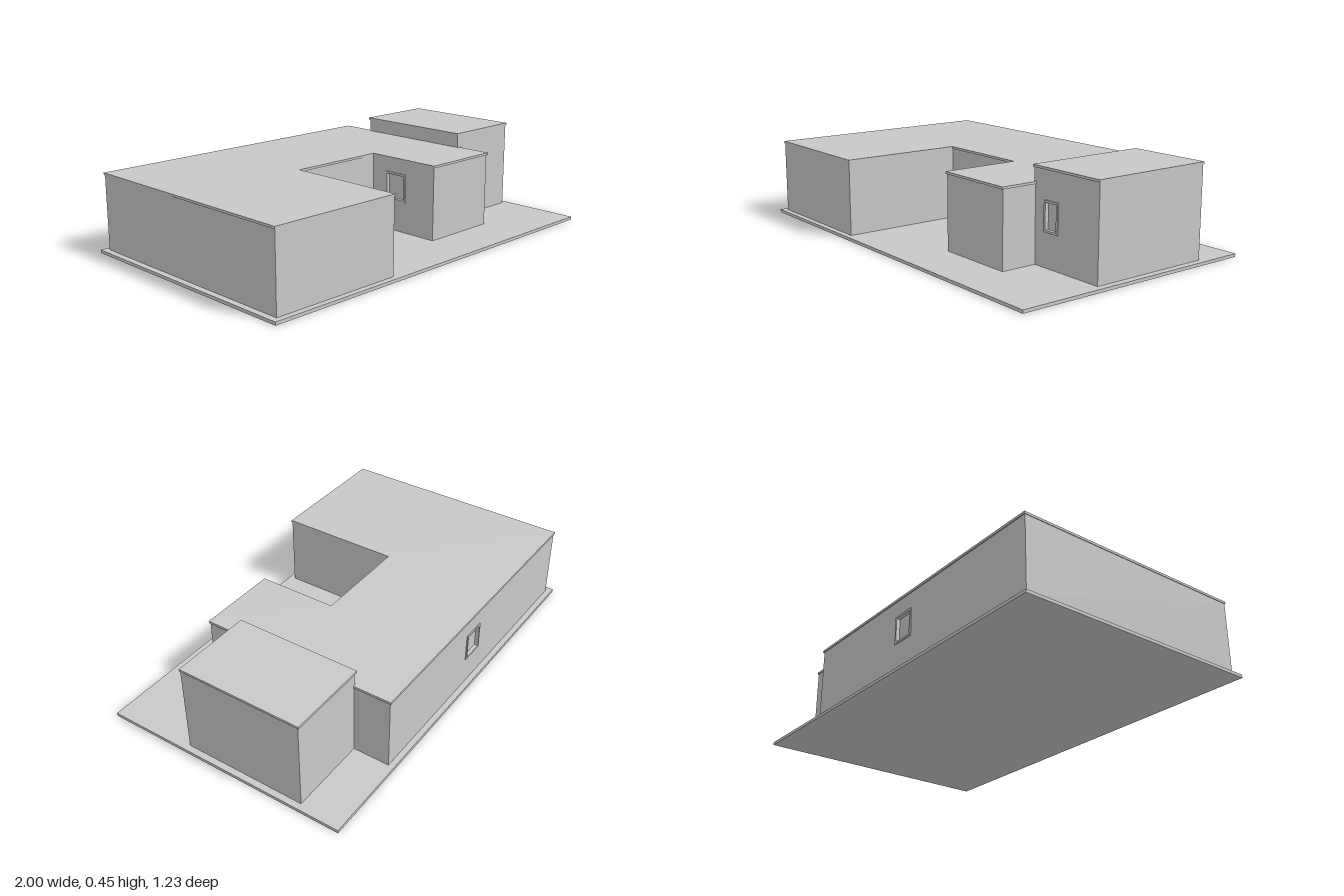
import * as THREE from 'three';

const GROUND = 0.015;   // top of the base slab
const THICK = 0.03;     // wall thickness
const ROOF = 0.011;     // roof plate thickness

const plaster = new THREE.MeshStandardMaterial({ color: 0xc8c8c8 });
plaster.name = 'light grey';

function part(name, geometry, parent) {
  const mesh = new THREE.Mesh(geometry, plaster);
  mesh.name = name;
  parent.add(mesh);
  return mesh;
}

function rectPath(Type, u0, u1, v0, v1) {
  const p = new Type();
  p.moveTo(u0, v0);
  p.lineTo(u1, v0);
  p.lineTo(u1, v1);
  p.lineTo(u0, v1);
  p.closePath();
  return p;
}

function extrude(shape, depth) {
  return new THREE.ExtrudeGeometry(shape, { depth, bevelEnabled: false });
}

// One straight wall from a to b with its outer face on that line; win = [u0, u1, y0, y1]
function addWall(parent, a, b, top, win) {
  const dx = b[0] - a[0], dz = b[1] - a[1];
  const wall = new THREE.Group();
  wall.name = 'wall';
  wall.position.set(a[0], 0, a[1]);
  wall.rotation.y = Math.atan2(-dz, dx);
  parent.add(wall);

  const shape = rectPath(THREE.Shape, 0, Math.hypot(dx, dz), GROUND, top);
  if (win) {
    const [u0, u1, v0, v1] = win, t = 0.01;
    const inner = [u0 + t, u1 - t, v0 + t, v1 - t];
    shape.holes.push(rectPath(THREE.Path, ...inner));
    // raised frame around the opening
    const frame = rectPath(THREE.Shape, ...win);
    frame.holes.push(rectPath(THREE.Path, ...inner));
    part('windowFrame', extrude(frame, 0.005), wall);
    // recessed pane
    const pane = part('windowPane', new THREE.BoxGeometry(u1 - u0, v1 - v0, 0.005), wall);
    pane.position.set((u0 + u1) / 2, (v0 + v1) / 2, -0.015);
  }
  part('wallPanel', extrude(shape, THICK).translate(0, 0, -THICK), wall);
}

// Walls around an outline of [x, z] corners, closed by a slightly overhanging flat roof
function addBlock(parent, name, walls, roof, height, windows) {
  const block = new THREE.Group();
  block.name = name;
  parent.add(block);
  walls.forEach((a, i) =>
    addWall(block, a, walls[(i + 1) % walls.length], height - ROOF, windows[i]));
  const shape = new THREE.Shape(roof.map(([x, z]) => new THREE.Vector2(x, -z)));
  part('flatRoof', extrude(shape, ROOF).rotateX(-Math.PI / 2).translate(0, height - ROOF, 0), block);
}

export function createModel() {
  const model = new THREE.Group();
  model.name = 'house';

  part('baseSlab', new THREE.BoxGeometry(2, GROUND, 1.226), model).position.y = GROUND / 2;

  // Low U-shaped building around the courtyard
  addBlock(model, 'mainBuilding',
    [[-0.97, 0.585], [-0.313, 0.585], [-0.313, -0.012], [0.185, -0.012],
      [0.185, 0.376], [0.58, 0.376], [0.58, -0.585], [-0.97, -0.585]],
    [[-0.973, 0.588], [-0.31, 0.588], [-0.31, -0.007], [0.18, -0.007],
      [0.18, 0.381], [0.585, 0.381], [0.585, -0.59], [-0.973, -0.59]],
    0.38,
    { 3: [0.087, 0.212, 0.165, 0.305], 6: [0.655, 0.775, 0.155, 0.29] });

  // Taller block at the side
  addBlock(model, 'tallBlock',
    [[0.572, 0.2], [0.968, 0.2], [0.968, -0.406], [0.572, -0.406]],
    [[0.566, 0.204], [0.971, 0.204], [0.971, -0.411], [0.566, -0.411]],
    0.452,
    { 0: [0.068, 0.155, 0.172, 0.312] });

  return model;
}
